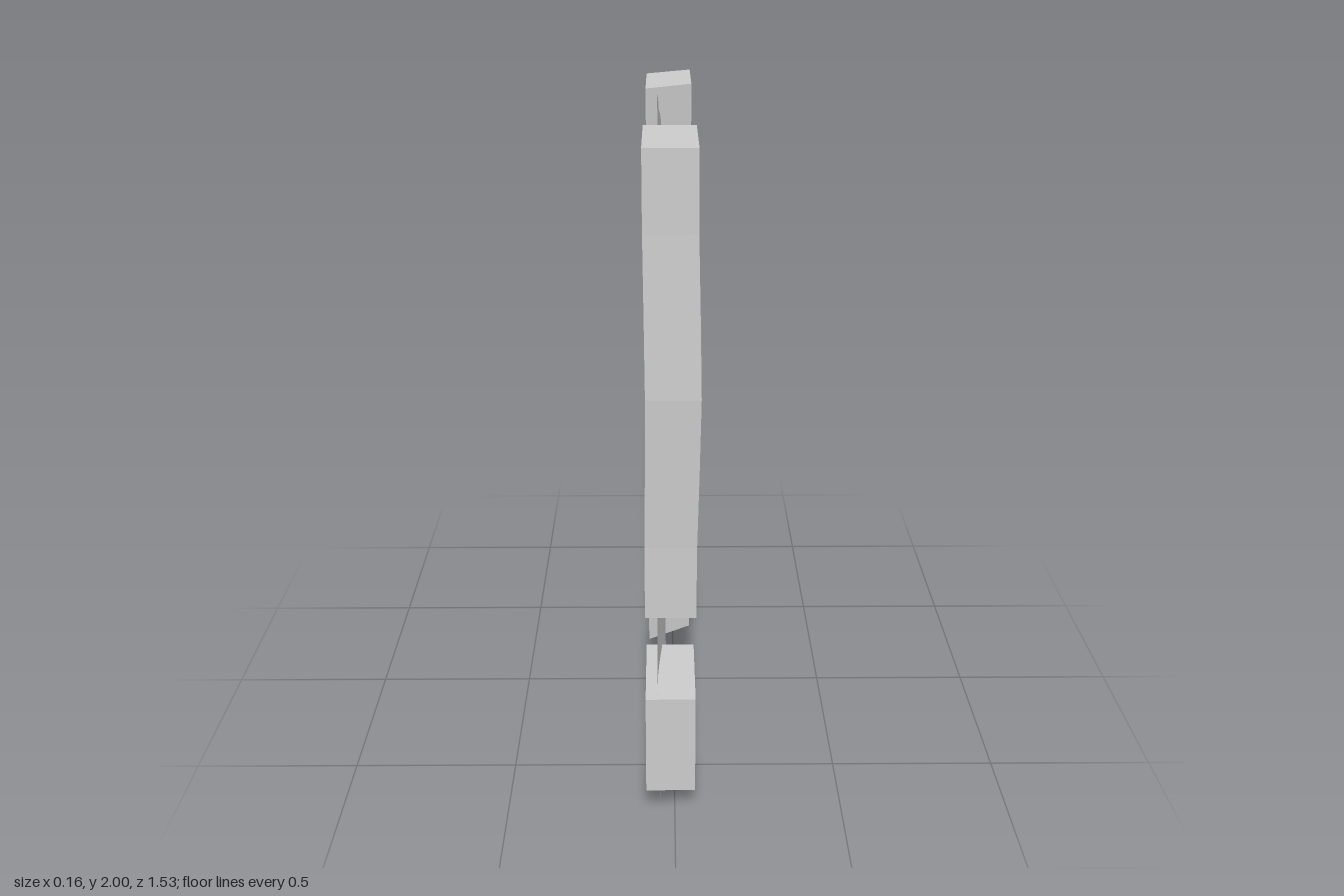
import * as THREE from 'three';

const material = new THREE.MeshStandardMaterial({ color: 0xcccccc, flatShading: true });
const sheetMaterial = new THREE.MeshStandardMaterial({ color: 0xcccccc, side: THREE.DoubleSide });

// How strongly each of the seven rings of a plank is warped, bottom to top
const WARP = [0, 0.1, 0.6, 1, 0.6, 0.1, 0];

// Four-sided plank from y0 to y1. Corners [x, z]: front -x, front +x, back +x, back -x.
// Each ring blends from the end section towards the middle section.
function plank(name, y0, y1, ends, middle) {
  const positions = [], index = [];
  const last = WARP.length - 1;
  WARP.forEach((w, i) => {
    const y = y0 + (y1 - y0) * i / last;
    ends.forEach(([x, z], j) => {
      positions.push(x + (middle[j][0] - x) * w, y, z + (middle[j][1] - z) * w);
    });
  });
  for (let i = 0; i < last; i++) {
    for (let j = 0; j < 4; j++) {
      const a = 4 * i + j, b = 4 * i + (j + 1) % 4;
      index.push(a, b, b + 4, a, b + 4, a + 4);
    }
  }
  const t = 4 * last;
  index.push(0, 2, 1, 0, 3, 2, t, t + 1, t + 2, t, t + 2, t + 3);
  const indexed = new THREE.BufferGeometry();
  indexed.setAttribute('position', new THREE.Float32BufferAttribute(positions, 3));
  indexed.setIndex(index);
  const geometry = indexed.toNonIndexed();
  geometry.computeVertexNormals();
  const mesh = new THREE.Mesh(geometry, material);
  mesh.name = name;
  return mesh;
}

// Piecewise linear lookup in a list of [position, value], ascending
function lookup(points, p) {
  for (let i = 1; i < points.length; i++) {
    const [a, va] = points[i - 1], [b, vb] = points[i];
    if (p <= b) return va + (vb - va) * THREE.MathUtils.clamp((p - a) / (b - a), 0, 1);
  }
  return points[points.length - 1][1];
}

// Thin, slightly wavy panel with an uneven back edge and bottom edge
function panel() {
  const backEdge = [[0, -0.765], [0.4, -0.76], [0.8, -0.75], [1.2, -0.76], [1.5, -0.745], [1.77, -0.755], [1.97, -0.725]];
  const bottomEdge = [[-0.76, 0], [-0.4, 0.01], [-0.2, 0.012], [0.05, 0.02], [0.2, 0.043], [0.74, 0.05]];
  const geometry = new THREE.PlaneGeometry(1, 1, 24, 24);
  const p = geometry.attributes.position;
  for (let i = 0; i < p.count; i++) {
    const u = p.getX(i) + 0.5, v = p.getY(i) + 0.5;
    const z = THREE.MathUtils.lerp(0.74, lookup(backEdge, v * 1.97), u);
    const y = THREE.MathUtils.lerp(lookup(bottomEdge, z), 1.97, v);
    const x = -0.038 + 0.008 * Math.sin(5 * z + 2.5 * y) + 0.005 * Math.sin(9 * z - 3 * y);
    p.setXYZ(i, x, y, z);
  }
  geometry.computeVertexNormals();
  const mesh = new THREE.Mesh(geometry, sheetMaterial);
  mesh.name = 'panel';
  return mesh;
}

export function createModel() {
  const group = new THREE.Group();
  group.name = 'plankPanel';
  group.add(panel());

  // Front edge: long warped batten above a short straight block
  const front = [[-0.085, 0.747], [0.06, 0.747], [0.06, 0.44], [-0.085, 0.44]];
  group.add(plank('upperFrontBatten', 0.67, 2, front,
    [[-0.08, 0.765], [0.07, 0.765], [0.08, 0.5], [-0.08, 0.45]]));
  group.add(plank('lowerFrontBlock', 0.085, 0.4, front, front));

  // Full-height skewed post near the back edge
  group.add(plank('backPost', 0.015, 1.99,
    [[-0.085, -0.24], [0.06, -0.335], [0.06, -0.645], [-0.085, -0.555]],
    [[-0.083, -0.265], [0.066, -0.37], [0.062, -0.653], [-0.083, -0.56]]));
  return group;
}
